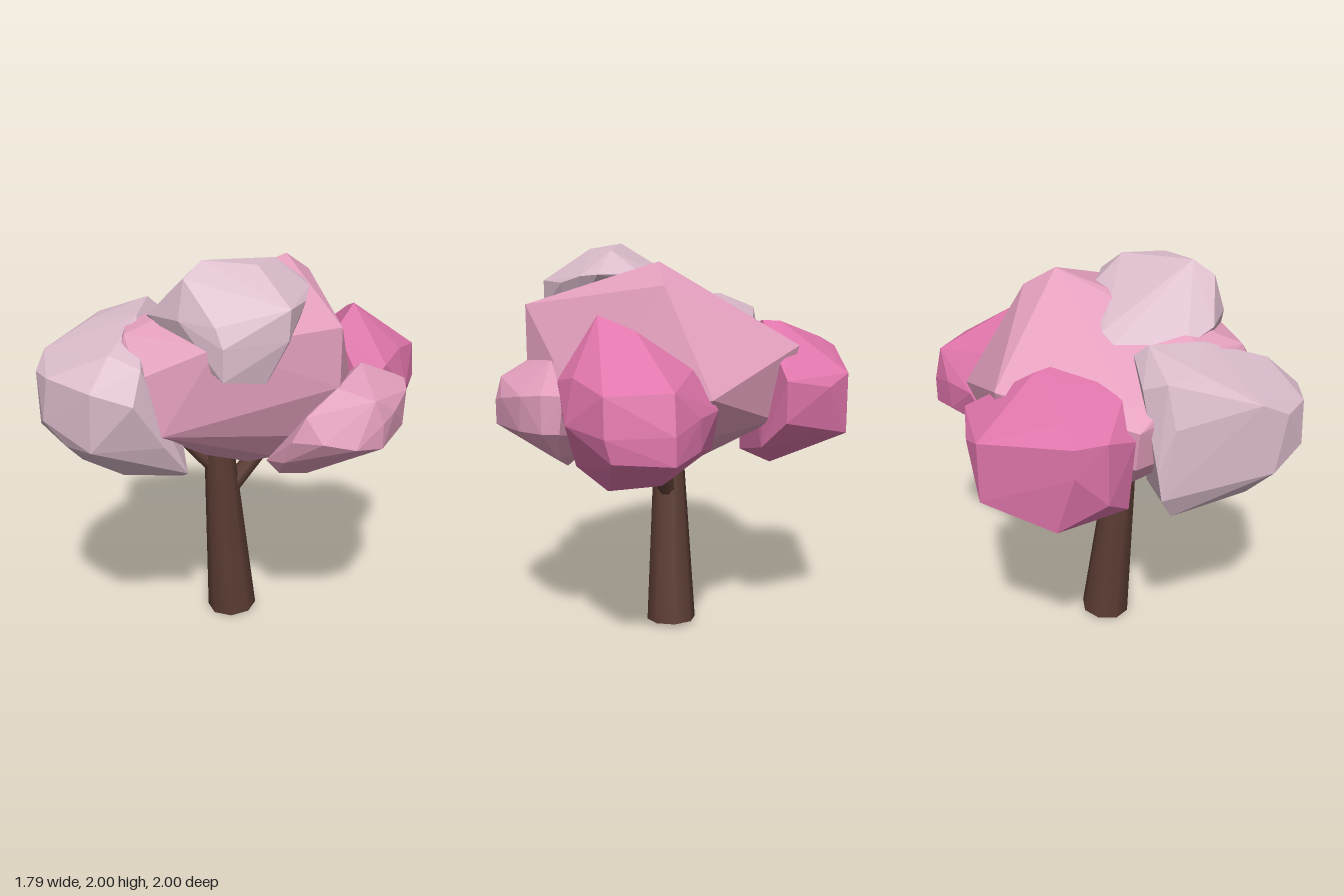
import * as THREE from 'three';
import { ConvexGeometry } from 'three/addons/geometries/ConvexGeometry.js';

const material = (name, color) => {
  const m = new THREE.MeshStandardMaterial({ color });
  m.name = name;
  return m;
};

export function createModel() {
  const bark = material('bark', 0x5b3c33);
  const hotPink = material('hotPink', 0xe176ac);
  const rosePink = material('rosePink', 0xe29ebc);
  const palePink = material('palePink', 0xd9bac9);
  const tree = new THREE.Group();
  tree.name = 'blossomTree';

  // Tapered wooden limb between two points
  const limb = (name, from, to, r0, r1, sides) => {
    const a = new THREE.Vector3(...from), b = new THREE.Vector3(...to);
    const dir = b.clone().sub(a);
    const mesh = new THREE.Mesh(new THREE.CylinderGeometry(r1, r0, dir.length(), sides), bark);
    mesh.position.copy(a).add(b).multiplyScalar(0.5);
    mesh.quaternion.setFromUnitVectors(new THREE.Vector3(0, 1, 0), dir.normalize());
    mesh.name = name;
    tree.add(mesh);
  };

  // Faceted foliage clump: the convex hull of a few corner points
  const clump = (name, mat, corners) => {
    const points = corners.map((c) => new THREE.Vector3(...c));
    const mesh = new THREE.Mesh(new ConvexGeometry(points), mat);
    mesh.name = name;
    tree.add(mesh);
  };

  // Trunk and branches
  limb('trunk', [0, 0.015, -0.01], [0, 1.0, 0.085], 0.13, 0.075, 8);
  limb('backBranch', [0.01, 0.72, 0.03], [0.14, 1.05, -0.22], 0.05, 0.04, 8);
  limb('frontBranch', [0, 0.84, 0.08], [-0.13, 1.05, 0.24], 0.05, 0.04, 8);

  // Large central clump
  clump('centreFoliage', rosePink, [
    [0.1, 1.94, -0.29], [0.1, 1.84, -0.46], [-0.08, 1.35, -0.73], [-0.05, 1.12, -0.55],
    [-0.57, 1.54, -0.38], [-0.45, 1.18, -0.4], [-0.52, 1.51, 0.25], [-0.62, 1.44, 0.32],
    [-0.61, 1.25, 0.3], [-0.5, 1.12, 0.25], [0.73, 1.72, 0], [0.73, 1.44, 0],
    [0.6, 1.17, 0], [-0.14, 1.68, 0.55], [0, 1.67, 0.67], [0, 1.52, 0.73],
    [0.16, 1.5, 0.72], [0.24, 1.23, 0.66], [-0.05, 1.23, 0.68], [0.41, 1.65, 0.47],
    [0, 0.95, 0.18], [0.25, 0.97, 0.12], [0.42, 1.04, 0.1], [-0.12, 0.96, -0.2],
    [0.3, 0.96, -0.22], [0.45, 1.15, -0.45],
  ]);

  // Back clump
  clump('backFoliage', hotPink, [
    [0.25, 1.65, -0.6], [0.41, 1.71, -0.46], [0.13, 1.43, -0.96], [0.13, 1.25, -1],
    [0.13, 1.12, -1], [0.43, 1.42, -0.94], [0.43, 1.24, -0.96], [0.4, 1.13, -0.95],
    [0.54, 1.46, -0.68], [0.58, 1.25, -0.7], [0.6, 1.42, -0.5], [0.59, 1.3, -0.36],
    [0, 1.3, -0.87], [0, 1.15, -0.86], [-0.11, 1.3, -0.7], [-0.1, 1.1, -0.6],
    [0.12, 0.9, -0.5], [0.38, 0.9, -0.55], [0.1, 0.92, -0.32], [0.38, 0.93, -0.35],
    [0.52, 1, -0.45], [0, 1.48, -0.66], [0.42, 1.6, -0.32],
  ]);

  // Clump on the -x side
  clump('rightFoliage', hotPink, [
    [-0.9, 1.47, 0.1], [-0.9, 1.33, 0.1], [-0.86, 1.02, 0], [-0.79, 1.46, 0.22],
    [-0.78, 1.15, 0.22], [-0.82, 1.4, -0.38], [-0.82, 1.1, -0.38], [-0.79, 1.53, 0],
    [-0.7, 1.35, -0.48], [-0.46, 1.4, -0.58], [-0.46, 1.2, -0.58], [-0.52, 1.64, -0.2],
    [-0.44, 1.64, -0.15], [-0.62, 1.4, 0.3], [-0.62, 1.05, 0.27], [-0.48, 0.9, 0],
    [-0.39, 0.92, 0.1], [-0.48, 0.92, -0.2], [-0.38, 1.05, -0.42], [-0.42, 1.55, 0.2],
  ]);

  // Clump on the +x side
  clump('leftFoliage', rosePink, [
    [0.73, 1.44, 0.02], [0.62, 1.48, -0.28], [0.86, 1.38, -0.1], [0.89, 1.27, -0.13],
    [0.89, 1.15, -0.13], [0.86, 1.3, -0.25], [0.77, 1.34, -0.45], [0.68, 1.36, -0.55],
    [0.58, 1.36, -0.58], [0.6, 1.18, -0.57], [0.68, 1.18, -0.55], [0.78, 1.17, -0.42],
    [0.86, 1.17, 0.02], [0.76, 1.2, 0.14], [0.68, 1.32, 0.17], [0.64, 1.2, 0.22],
    [0.58, 1.08, 0.21], [0.5, 0.99, 0.15], [0.41, 1.03, 0.15], [0.55, 0.96, -0.28],
    [0.54, 0.96, 0], [0.6, 1.03, -0.45], [0.4, 1.3, -0.3], [0.4, 1.1, -0.3],
  ]);

  // Front clump
  clump('frontFoliage', palePink, [
    [-0.31, 1.74, 0.28], [-0.3, 1.68, 0.21], [-0.5, 1.6, 0.3], [-0.53, 1.65, 0.42],
    [-0.12, 1.71, 0.5], [-0.4, 1.66, 0.55], [-0.42, 1.55, 0.83], [-0.33, 1.48, 0.94],
    [-0.17, 1.49, 0.99], [-0.2, 1.28, 1], [-0.38, 1.2, 0.9], [-0.1, 1.17, 0.95],
    [0.18, 1.55, 0.72], [0.04, 1.6, 0.79], [0.09, 1.46, 0.94], [0.22, 1.4, 0.8],
    [0.08, 1.18, 0.94], [0.25, 1.18, 0.65], [0.26, 1.02, 0.52], [0.06, 0.91, 0.38],
    [-0.16, 0.87, 0.4], [-0.25, 1.01, 0.76], [0.03, 1, 0.72], [-0.52, 0.98, 0.45],
    [-0.6, 1.1, 0.42], [-0.6, 1.23, 0.4], [-0.57, 1.45, 0.47], [-0.15, 0.95, 0.25],
  ]);

  // Crown clump
  clump('topFoliage', palePink, [
    [0.21, 2, 0.38], [0.3, 1.98, 0], [0.39, 1.98, 0.2], [0.38, 1.87, -0.13],
    [0.16, 1.87, -0.1], [-0.2, 1.74, 0.03], [-0.25, 1.7, 0.1], [-0.13, 1.69, 0.43],
    [0, 1.74, 0.53], [0.23, 1.75, 0.54], [0.41, 1.74, 0.48], [0.21, 1.93, 0.49],
    [0.63, 1.82, 0.23], [0.63, 1.68, 0.24], [0.46, 1.65, 0.48], [0.46, 1.5, 0.48],
    [0.55, 1.48, 0.3], [0.45, 1.5, 0.3], [0.55, 1.82, 0.05], [0.5, 1.6, 0.1],
    [0.46, 1.86, -0.07],
  ]);

  return tree;
}
